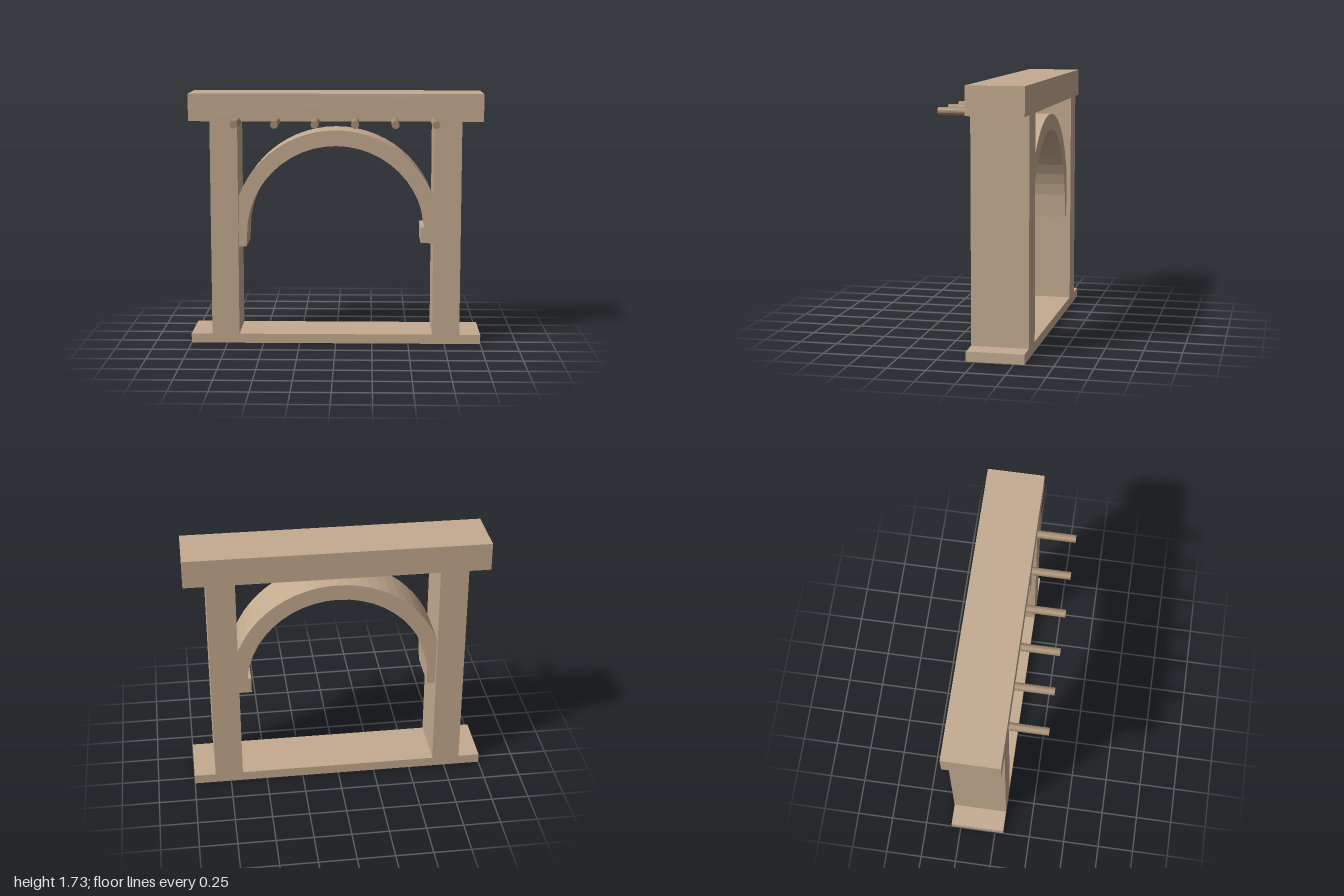
import * as THREE from 'three';

const wood = new THREE.MeshStandardMaterial({ color: 0xc4ab90, flatShading: true });
const darkWood = new THREE.MeshStandardMaterial({ color: 0xa48c70, flatShading: true });

const BACK = -0.315, FRONT = 0.06;            // depth of the frame
const ARCH_BACK = -0.285, ARCH_FRONT = 0.03;  // depth of the inset arch
const INNER_X = 0.667;                        // inner faces of the posts

export function createModel() {
  const group = new THREE.Group();

  const add = (name, geometry, material = wood) => {
    const mesh = new THREE.Mesh(geometry, material);
    mesh.name = name;
    group.add(mesh);
    return mesh;
  };
  const block = (name, x0, x1, y0, y1, z0 = BACK, z1 = FRONT) =>
    add(name, new THREE.BoxGeometry(x1 - x0, y1 - y0, z1 - z0))
      .position.set((x0 + x1) / 2, (y0 + y1) / 2, (z0 + z1) / 2);

  // Frame: sill, two posts and the heavy lintel
  block('sill', -1, 1, 0, 0.065);
  block('rightPost', -0.855, -INNER_X, 0.065, 1.54);
  block('leftPost', INNER_X, 0.855, 0.065, 1.54);
  block('lintel', -1, 1, 1.54, 1.727);

  // Arch: a faceted ring cut off where it meets the posts
  const cy = 0.76, outer = 0.717, inner = 0.61, steps = 24;
  const startAngle = Math.acos(INNER_X / outer);
  const arch = new THREE.Shape();
  arch.moveTo(-INNER_X, 0.675);
  for (let i = 0; i <= steps; i++) {
    const a = Math.PI - startAngle - (i / steps) * (Math.PI - 2 * startAngle);
    arch.lineTo(outer * Math.cos(a), cy + outer * Math.sin(a));
  }
  arch.lineTo(INNER_X, 0.75);
  for (let i = 0; i <= steps; i++) {
    const a = (i / steps) * Math.PI;
    arch.lineTo(inner * Math.cos(a), cy + inner * Math.sin(a));
  }
  arch.lineTo(-0.614, 0.675);
  add('arch', new THREE.ExtrudeGeometry(arch, { depth: ARCH_FRONT - ARCH_BACK, bevelEnabled: false }))
    .position.z = ARCH_BACK;

  // Bracket under the arch, on one side only
  block('archBracket', 0.583, INNER_X, 0.702, 0.81, ARCH_BACK, ARCH_FRONT);

  // Row of round pegs along the lower edge of the lintel
  const pegLength = 0.315 - FRONT;
  for (let i = 0; i < 6; i++) {
    const peg = add('peg', new THREE.CylinderGeometry(0.026, 0.026, pegLength, 16), darkWood);
    peg.rotation.x = Math.PI / 2;
    peg.position.set(-0.667 + i * 0.2668, 1.54, FRONT + pegLength / 2);
  }

  return group;
}
